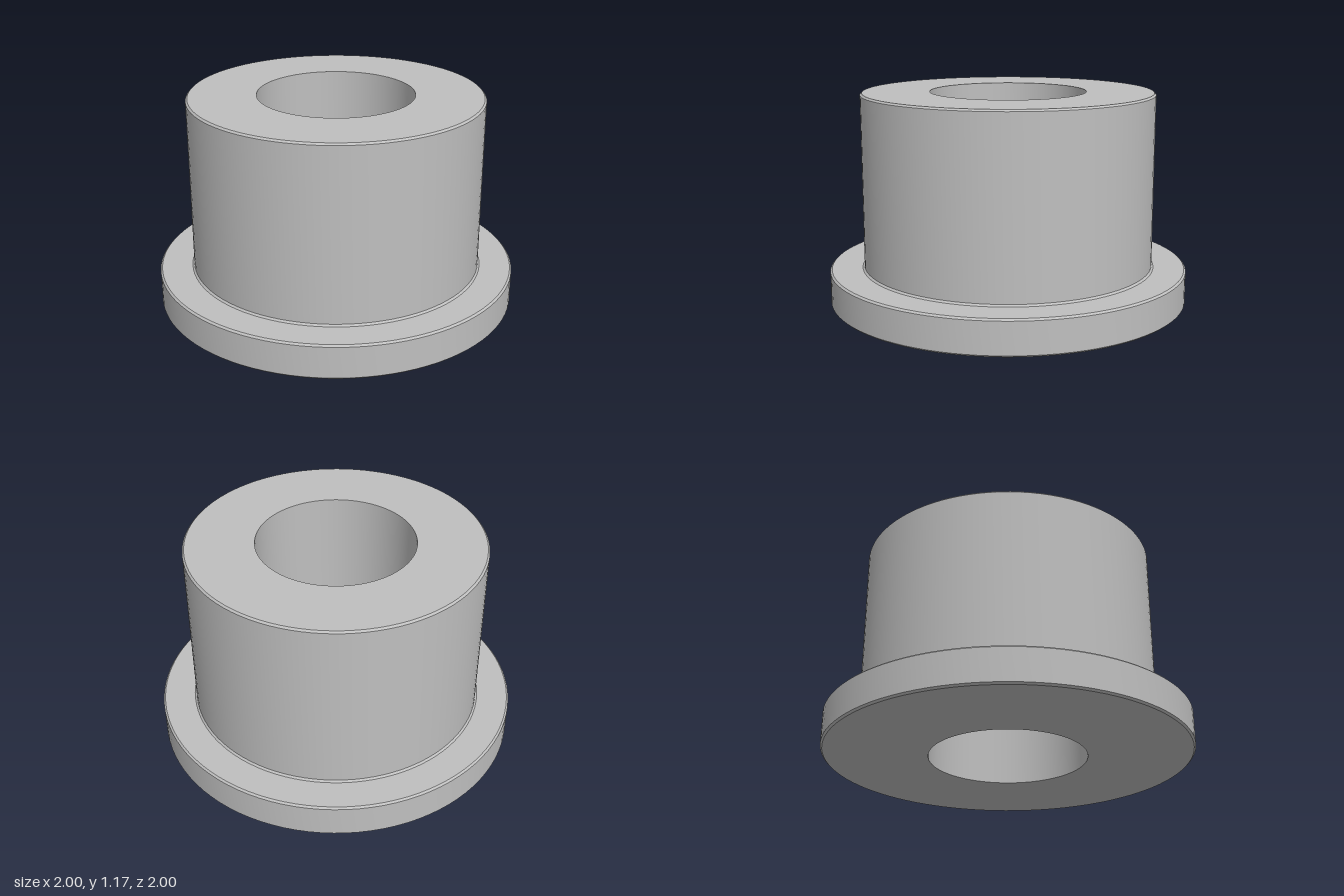
import * as THREE from 'three';
import { toCreasedNormals } from 'three/addons/utils/BufferGeometryUtils.js';

const SEGMENTS = 96;
const BORE = 0.43, SLEEVE = 0.81, FLANGE = 1;
const FLANGE_TOP = 0.195, HEIGHT = 1.17, BEVEL = 0.01;

export function createModel() {
  const group = new THREE.Group();
  group.name = 'flangedBushing';
  const metal = new THREE.MeshStandardMaterial({ color: 0xbfbfbf });
  metal.name = 'grey metal';

  // Revolves an open [radius, y] profile, keeping its corners sharp
  function turned(name, profile) {
    const points = profile.map(([r, y]) => new THREE.Vector2(r, y));
    const geometry = toCreasedNormals(new THREE.LatheGeometry(points, SEGMENTS), 0.4);
    const mesh = new THREE.Mesh(geometry, metal);
    mesh.name = name;
    group.add(mesh);
  }

  // Base flange: underside, bevelled rim and the ledge up to the sleeve
  turned('flange', [
    [BORE, 0], [FLANGE - BEVEL, 0], [FLANGE, BEVEL],
    [FLANGE, FLANGE_TOP - BEVEL], [FLANGE - BEVEL, FLANGE_TOP],
    [SLEEVE + BEVEL, FLANGE_TOP],
  ]);

  // Sleeve: small fillet at the foot, outer wall, bevelled edge and top ring
  turned('sleeve', [
    [SLEEVE + BEVEL, FLANGE_TOP], [SLEEVE, FLANGE_TOP + BEVEL],
    [SLEEVE, HEIGHT - BEVEL], [SLEEVE - BEVEL, HEIGHT],
    [BORE, HEIGHT],
  ]);

  // Through bore, facing the axis
  turned('bore', [[BORE, HEIGHT], [BORE, 0]]);

  return group;
}
